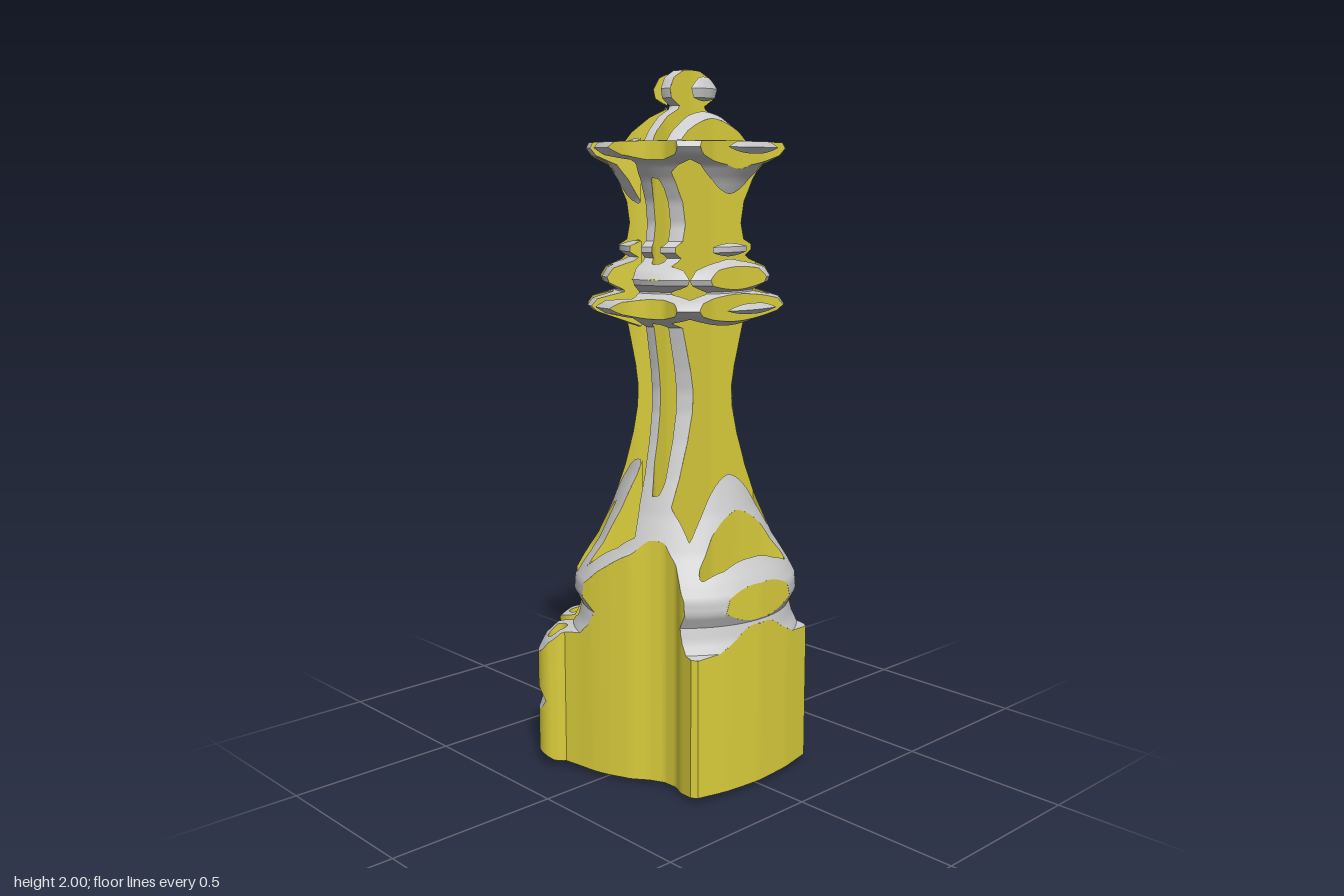
import * as THREE from 'three';
import { toCreasedNormals } from 'three/addons/utils/BufferGeometryUtils.js';

// Chess queen: a turned body intersected with an upright prism of a crown emblem.
const AXIS_Z = 0.03; // the turning axis

// Turned profile, [radius, height]
const PROFILE = [
  [0, 0], [0.3, 0.01], [0.4, 0.022], [0.435, 0.04], [0.44, 0.08], [0.436, 0.16], [0.418, 0.2],
  [0.436, 0.24], [0.44, 0.3], [0.435, 0.34], [0.41, 0.38], [0.375, 0.41], [0.33, 0.42],
  [0.315, 0.45], [0.305, 0.49], [0.325, 0.53], [0.322, 0.57], [0.3, 0.61], [0.255, 0.68],
  [0.21, 0.78], [0.175, 0.88], [0.15, 0.98], [0.137, 1.06], [0.135, 1.12], [0.142, 1.18],
  [0.155, 1.25], [0.165, 1.3], [0.2, 1.315], [0.265, 1.34], [0.28, 1.355], [0.265, 1.375],
  [0.2, 1.395], [0.2, 1.4], [0.235, 1.42], [0.24, 1.435], [0.225, 1.46], [0.18, 1.48],
  [0.17, 1.49], [0.188, 1.505], [0.188, 1.52], [0.165, 1.535], [0.157, 1.58], [0.165, 1.64],
  [0.19, 1.7], [0.215, 1.74], [0.265, 1.765], [0.28, 1.785], [0.272, 1.8], [0.17, 1.805],
  [0.15, 1.83], [0.1, 1.87], [0.06, 1.89], [0.055, 1.9], [0.085, 1.92], [0.09, 1.945],
  [0.075, 1.975], [0.04, 1.995], [0, 2],
];

// Crown tip rings, [x, z]
const RINGS = [[0, -0.285], [0.169, -0.258], [0.307, -0.188]];

function arc([cx, cz], r, from, to, n = 28) {
  return Array.from({ length: n + 1 }, (_, i) => {
    const a = THREE.MathUtils.degToRad(from + ((to - from) * i) / n);
    return [cx + r * Math.cos(a), cz + r * Math.sin(a)];
  });
}

// Half outline from the centre line round to the centre line, mirrored to a closed loop
function mirrored(half) {
  return [...half, ...half.slice(1, -1).reverse().map(([x, z]) => [-x, z])];
}

// Splits long edges of a polyline
function subdivide(points, step) {
  const out = [];
  for (let i = 0; i < points.length - 1; i++) {
    const [a, b] = [points[i], points[i + 1]];
    const n = Math.max(1, Math.ceil(Math.hypot(b[0] - a[0], b[1] - a[1]) / step));
    for (let k = 0; k < n; k++) {
      out.push([a[0] + ((b[0] - a[0]) * k) / n, a[1] + ((b[1] - a[1]) * k) / n]);
    }
  }
  out.push(points[points.length - 1]);
  return out;
}

// Closed loops of the crown emblem in x, z; openings run the other way round
function emblemLoops() {
  const outline = mirrored([
    ...arc(RINGS[0], 0.058, -90, 50, 18),
    [0.035, -0.19], [0.041, -0.145], [0.05, -0.1], [0.056, -0.065], [0.075, -0.1], [0.112, -0.165],
    ...arc(RINGS[1], 0.057, 141, 410),
    [0.18, -0.175], [0.174, -0.13], [0.178, -0.063], [0.24, -0.12],
    ...arc(RINGS[2], 0.058, 140, 432),
    [0.313, -0.09], [0.302, -0.04], [0.286, 0.01], [0.257, 0.075], [0.223, 0.118], [0.203, 0.16],
    [0.203, 0.206], [0.222, 0.245], [0.231, 0.295], [0.22, 0.312], [0.12, 0.33], [0, 0.338],
  ]);
  const openings = [
    // below the zigzag
    [[0, -0.145], [0.053, 0.014], [0.105, -0.06], [0.148, -0.15], [0.165, 0.028], [0.225, -0.04],
      [0.278, -0.09], [0.255, 0.02], [0.235, 0.073], [0.2, 0.055], [0.1, 0.028], [0, 0.018]],
    // between the bands
    [[0, 0.053], [0.1, 0.06], [0.16, 0.073], [0.184, 0.09], [0.175, 0.108], [0.16, 0.114],
      [0.08, 0.107], [0, 0.102]],
    [[0, 0.137], [0.08, 0.142], [0.165, 0.147], [0.159, 0.18], [0.157, 0.213], [0.08, 0.207], [0, 0.204]],
    [[0, 0.238], [0.1, 0.242], [0.16, 0.255], [0.172, 0.265], [0.165, 0.275], [0.1, 0.293], [0, 0.298]],
  ].map(mirrored);
  for (const [x, z] of RINGS) {
    for (const side of x ? [1, -1] : [1]) openings.push(arc([x * side, z], 0.029, 0, 360, 20).slice(0, -1));
  }
  return [outline, ...openings.map((o) => o.reverse())].map((l) => [...l, l[0]]);
}

// Signed distance to the emblem, positive inside
function emblemDistance(edges, x, z) {
  let best = Infinity;
  let inside = false;
  for (const [[ax, az], [bx, bz]] of edges) {
    const dx = bx - ax, dz = bz - az;
    const t = THREE.MathUtils.clamp(((x - ax) * dx + (z - az) * dz) / (dx * dx + dz * dz), 0, 1);
    best = Math.min(best, (x - ax - dx * t) ** 2 + (z - az - dz * t) ** 2);
    if (az > z !== bz > z && x < ax + (dx * (z - az)) / dz) inside = !inside;
  }
  return Math.sqrt(best) * (inside ? 1 : -1);
}

// Adds the part of a triangle where f (fourth number of each corner) is positive
function addClipped(out, tri) {
  const poly = [];
  tri.forEach((a, i) => {
    const b = tri[(i + 1) % 3];
    if (a[3] >= 0) poly.push(a);
    if (a[3] >= 0 !== b[3] >= 0) {
      const t = a[3] / (a[3] - b[3]);
      poly.push(a.map((v, k) => v + (b[k] - v) * t));
    }
  });
  for (let i = 1; i < poly.length - 1; i++) {
    const [a, b, c] = [poly[0], poly[i], poly[i + 1]].map((p) => new THREE.Vector3(p[0], p[1], p[2]));
    const area = b.clone().sub(a).cross(c.clone().sub(a)).length();
    if (area > 1e-10) for (const p of [a, b, c]) out.push(p.x, p.y, p.z);
  }
}

// Surface over columns and rows, point(column, row) giving [x, y, z, f]
function addGrid(out, columns, rows, point) {
  const grid = columns.map((c) => rows.map((r) => point(c, r)));
  for (let i = 0; i < columns.length - 1; i++) {
    for (let j = 0; j < rows.length - 1; j++) {
      const [a, b, c, d] = [grid[i][j], grid[i][j + 1], grid[i + 1][j + 1], grid[i + 1][j]];
      addClipped(out, [a, b, c]);
      addClipped(out, [a, c, d]);
    }
  }
}

function makeMesh(name, positions, color) {
  const geometry = new THREE.BufferGeometry();
  geometry.setAttribute('position', new THREE.Float32BufferAttribute(positions, 3));
  const mesh = new THREE.Mesh(toCreasedNormals(geometry, 0.65), new THREE.MeshStandardMaterial({ color }));
  mesh.name = name;
  return mesh;
}

export function createModel() {
  const group = new THREE.Group();
  group.name = 'chessQueen';
  const loops = emblemLoops();
  const edges = loops.flatMap((l) => l.slice(1).map((p, i) => [l[i], p]));

  // Upright emblem walls, kept where they lie inside the turned body
  const walls = [];
  for (const loop of loops) {
    addGrid(walls, subdivide(loop, 0.015), PROFILE, ([x, z], [r, y]) =>
      [x, y, z, r - Math.hypot(x, z - AXIS_Z)]);
  }
  group.add(makeMesh('emblemWalls', walls, 0xdccf3c));

  // Turned surface, kept where it lies inside the emblem
  const turned = [];
  const angles = Array.from({ length: 221 }, (_, i) => (i / 220) * Math.PI * 2);
  addGrid(turned, angles, subdivide(PROFILE, 0.015), (a, [r, y]) => {
    const x = r * Math.cos(a);
    const z = AXIS_Z + r * Math.sin(a);
    return [x, y, z, emblemDistance(edges, x, z)];
  });
  group.add(makeMesh('turnedSurface', turned, 0xcccccc));
  return group;
}
